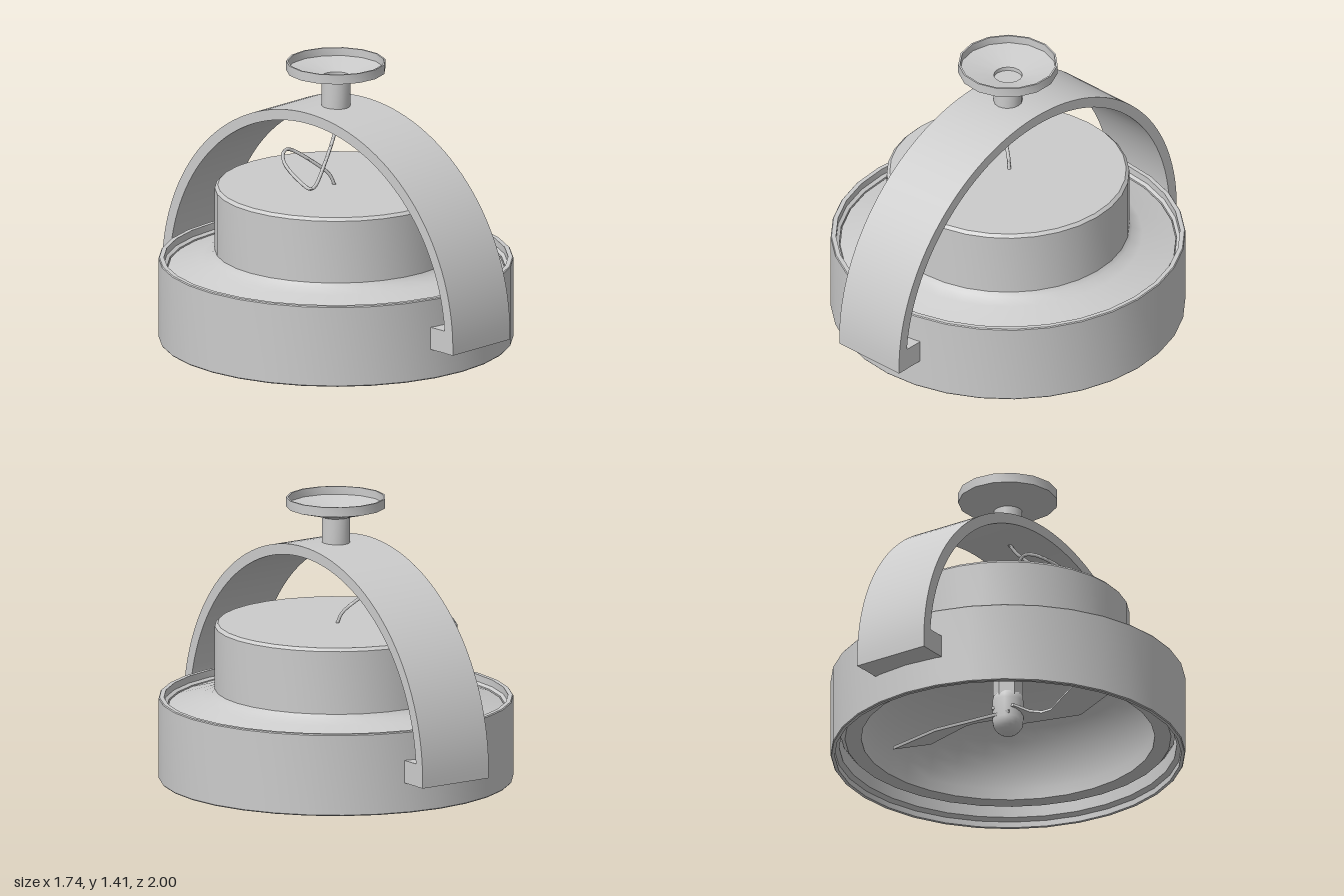
import * as THREE from 'three';
import { toCreasedNormals } from 'three/addons/utils/BufferGeometryUtils.js';

const material = new THREE.MeshStandardMaterial({ color: 0xcccccc, side: THREE.DoubleSide });

function addMesh(parent, name, geometry, crease = 0.6) {
  const mesh = new THREE.Mesh(toCreasedNormals(geometry, crease), material);
  mesh.name = name;
  parent.add(mesh);
  return mesh;
}

function lathe(points, segments) {
  return new THREE.LatheGeometry(points.map(([r, y]) => new THREE.Vector2(r, y)), segments, -Math.PI / 2);
}

export function createModel() {
  const model = new THREE.Group();
  model.name = 'domedFanUnit';

  // Outer ring with stepped lips at top and bottom
  addMesh(model, 'outerRing', lathe([
    [0.85, 0], [0.866, 0], [0.87, 0.005], [0.87, 0.405], [0.866, 0.41], [0.844, 0.41],
    [0.844, 0.375], [0.828, 0.365], [0.828, 0.045], [0.85, 0.03], [0.85, 0],
  ], 32));

  // Raised housing, hollowed underneath by a deep dome
  const profile = [];
  for (let i = 0; i <= 16; i++) {
    const a = (i / 16) * Math.PI / 2;
    profile.push([0.72 * Math.sin(a), 0.09 + 0.58 * Math.cos(a)]);
  }
  profile.push([0.8, 0.09], [0.824, 0.12], [0.824, 0.36], [0.66, 0.408], [0.61, 0.43],
    [0.595, 0.45], [0.595, 0.765], [0.58, 0.78], [0, 0.78]);
  addMesh(model, 'housing', lathe(profile, 32));

  // Arched strap running front to back
  const arch = new THREE.Shape();
  arch.moveTo(1, 0.152);
  arch.lineTo(1, 0.185);
  arch.absarc(0, 0.185, 1, 0, Math.PI, false);
  arch.lineTo(-1, 0.152);
  arch.lineTo(-0.947, 0.152);
  arch.absarc(0, 0.185, 0.947, Math.PI, 0, true);
  arch.lineTo(0.947, 0.152);
  arch.closePath();
  const archGeometry = new THREE.ExtrudeGeometry(arch, { depth: 0.4, bevelEnabled: false, curveSegments: 32 });
  archGeometry.translate(0, 0, -0.2).rotateY(-Math.PI / 2);
  addMesh(model, 'archStrap', archGeometry);

  // Feet joining the strap to the ring
  for (const side of [1, -1]) {
    const foot = addMesh(model, side > 0 ? 'frontFoot' : 'backFoot', new THREE.BoxGeometry(0.398, 0.113, 0.143));
    foot.position.set(0, 0.209, side * 0.918);
  }

  // Dished knob on a short stem, with a shallow recess at its centre
  addMesh(model, 'knobStem', new THREE.CylinderGeometry(0.07, 0.07, 0.14, 16).translate(0, 1.245, 0));
  addMesh(model, 'knobDish', lathe([
    [0.07, 1.335], [0.07, 1.312], [0.09, 1.32], [0.245, 1.362], [0.245, 1.41], [0.236, 1.41],
    [0.236, 1.37], [0.07, 1.335],
  ], 15), 0.45);

  // Bent wire hanging between the strap and the housing
  const wire = new THREE.CatmullRomCurve3([
    [0, 1.145, 0], [-0.04, 1.08, 0.035], [-0.2, 0.955, 0.12], [-0.34, 0.875, 0.185],
    [-0.36, 0.868, 0.18], [-0.345, 0.895, 0.07], [-0.3, 0.94, -0.06], [-0.24, 0.968, -0.125],
    [-0.19, 0.972, -0.138], [-0.1, 0.91, -0.08], [-0.02, 0.83, -0.025], [0, 0.775, -0.01],
  ].map((p) => new THREE.Vector3(...p)));
  addMesh(model, 'bentWire', new THREE.TubeGeometry(wire, 90, 0.009, 6), 1.2);

  // Rotor under the dome: shaft, rounded nose and two pitched blades
  const rotor = new THREE.Group();
  rotor.name = 'rotor';
  model.add(rotor);
  addMesh(rotor, 'rotorShaft', new THREE.CylinderGeometry(0.075, 0.075, 0.42, 6).translate(0, 0.46, 0), 0.3);
  addMesh(rotor, 'rotorNose', new THREE.CapsuleGeometry(0.077, 0.1, 8, 16).translate(0, 0.23, 0));

  const blade = new THREE.Shape([
    [0.05, 0.07], [-0.345, 0.139], [-0.68, 0.017], [-0.546, -0.12], [-0.224, 0.05],
    [-0.17, 0.05], [-0.117, 0.02], [-0.07, -0.05], [0.05, -0.07],
  ].map(([x, z]) => new THREE.Vector2(x, z)));
  for (let i = 0; i < 2; i++) {
    const geometry = new THREE.ExtrudeGeometry(blade, { depth: 0.015, bevelEnabled: false });
    geometry.rotateX(Math.PI / 2 + 0.3).translate(0, 0.225, 0).rotateY(i * Math.PI);
    addMesh(rotor, 'rotorBlade' + (i + 1), geometry);
  }

  return model;
}
